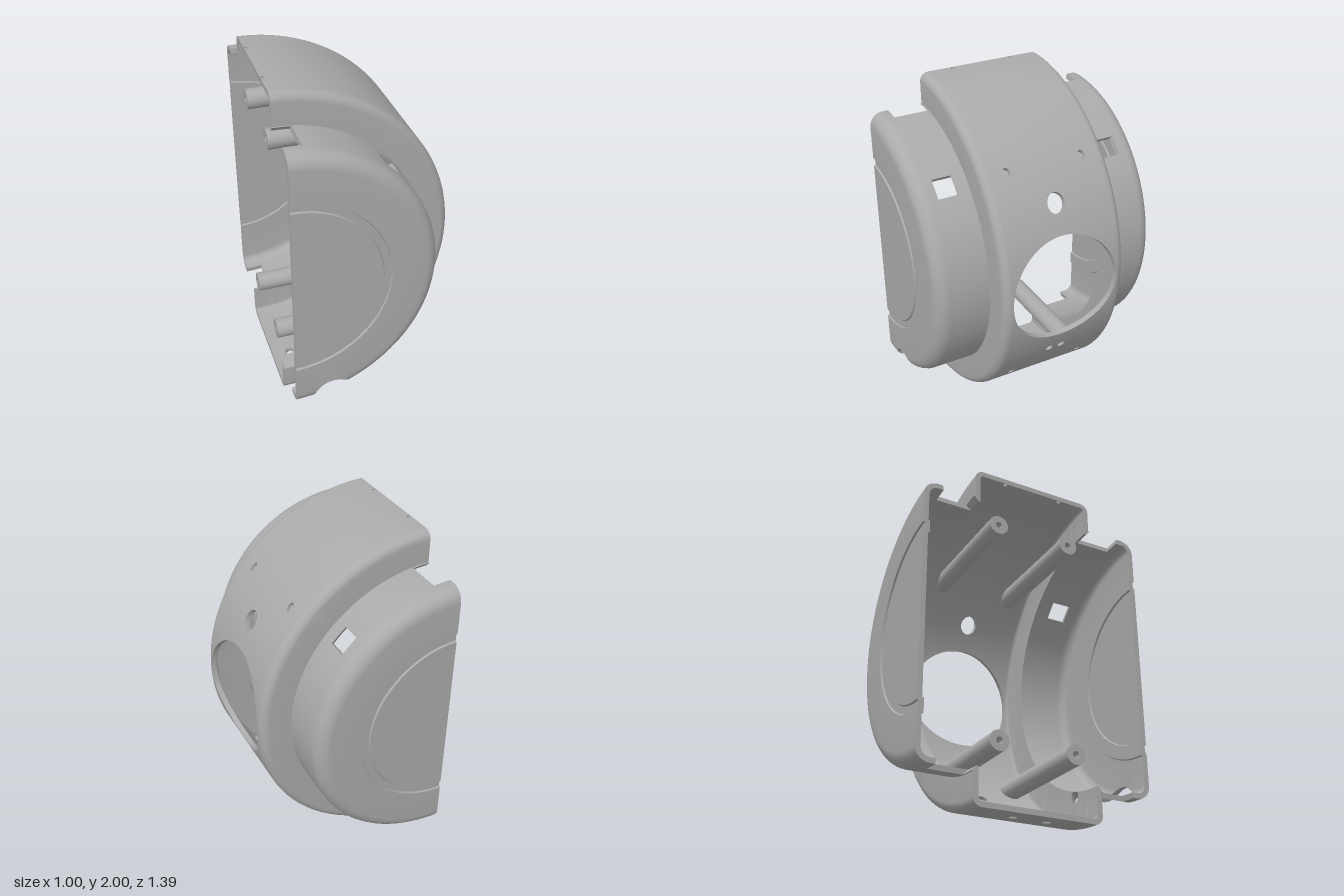
import * as THREE from 'three';
import { toCreasedNormals } from 'three/addons/utils/BufferGeometryUtils.js';

const CX = -0.5, CY = 1, T = 0.03, HALF = Math.PI / 2, DEG = Math.PI / 180;

// Shell profile as (z, radius), from the front disc over the rim to the back disc
function makeProfile() {
  const half = [[0.695, 0], [0.695, 0.5], [0.685, 0.505], [0.685, 0.545], [0.695, 0.55]];
  const arc = (z, r, rad) => {
    for (let i = 0; i <= 7; i++) {
      const a = (i / 7) * HALF;
      half.push([z + rad * Math.cos(a), r + rad * Math.sin(a)]);
    }
  };
  arc(0.615, 0.74, 0.08);
  const step = half.length;
  half.push([0.38, 0.82]);
  arc(0.33, 0.95, 0.05);
  const outer = [...half, ...half.slice().reverse().map(([z, r]) => [-z, r])];
  const normal = (a, b) => {
    const dz = b[0] - a[0], dr = b[1] - a[1], l = Math.hypot(dz, dr);
    return [dr / l, -dz / l];
  };
  // Mitred inward offset gives the wall thickness
  const inner = outer.map((p, i) => {
    const n1 = normal(...(i ? [outer[i - 1], p] : [p, outer[1]]));
    const n2 = i < outer.length - 1 ? normal(p, outer[i + 1]) : n1;
    const k = T / (1 + n1[0] * n2[0] + n1[1] * n2[1]);
    return [p[0] - (n1[0] + n2[0]) * k, Math.max(0, p[1] - (n1[1] + n2[1]) * k)];
  });
  return { outer, inner, step };
}

function makeShell() {
  const { outer, inner, step } = makeProfile();
  const last = outer.length - 1;
  // Profile parameter u = point index + fraction, looked up by z or by radius
  const find = (axis, v, from) => {
    for (let i = from; i < last; i++) {
      const a = outer[i][axis], b = outer[i + 1][axis];
      if (a !== b && (v - a) * (v - b) <= 0) return i + (v - a) / (b - a);
    }
    return last;
  };
  const uZ = z => find(0, z, 5);
  const uR = (r, from) => find(1, r, from);

  // Openings: angle range, extra angle stops, and the u interval at each angle
  const holes = [];
  const add = (t0, t1, span, n, noWalls) => {
    t0 = Math.max(t0, -HALF); t1 = Math.min(t1, HALF);
    const stops = [];
    for (let i = 0; i <= n; i++) stops.push(t0 + (t1 - t0) * (1 - Math.cos(Math.PI * i / n)) / 2);
    holes.push({ t0, t1, span, stops, noWalls });
  };
  const drill = (y, z, r, n = 10) => add(Math.asin(y - r), Math.asin(y + r), t => {
    const h = Math.sqrt(Math.max(0, r * r - (Math.sin(t) - y) ** 2));
    return [uZ(z + h), uZ(z - h)];
  }, n);
  const radial = (t0, z, r) => add(t0 - r, t0 + r, t => {
    const h = Math.sqrt(Math.max(0, r * r - (t - t0) ** 2));
    return [uZ(z + h), uZ(z - h)];
  }, 10);
  const rect = (t0, t1, z0, z1, noWalls) => {
    const s = [uZ(z1), uZ(z0)];
    add(t0, t1, () => s, 3, noWalls);
  };

  drill(0, 0, 0.328, 40);
  drill(0.49, 0, 0.052, 16);
  for (const z of [-0.23, 0.23]) { drill(0.67, z, 0.02); drill(-0.635, z, 0.02); }
  for (const z of [-0.04, 0.04]) drill(-0.45, z, 0.022);
  radial(Math.asin(-0.76), 0, 0.03);
  for (const s of [-1, 1]) {
    radial(-HALF + 0.11, s * 0.1, 0.025);
    radial(HALF - 0.013, s * 0.183, 0.012);
    // Small windows and the slots beside the cut edge
    const [a, b] = s > 0 ? [0.46, 0.57] : [-0.57, -0.46];
    rect(41.2 * DEG, 49.1 * DEG, a, b);
    const [c, d] = s > 0 ? [0.39, 0.585] : [-0.585, -0.39];
    rect(83 * DEG, HALF, c, d);
    rect(-HALF, -83 * DEG, c, d, s > 0);
  }
  // Round cable notch in the front rim and the hole in the step behind it
  const ct = Math.atan2(-0.81, 0.22), cr = 0.839;
  add(-83 * DEG, -66.6 * DEG, t => {
    const a = t - ct, q = Math.sqrt(Math.max(0, 0.0144 - (cr * Math.sin(a)) ** 2));
    return [uR(Math.min(0.819, cr * Math.cos(a) - q), 4), uZ(0.45)];
  }, 18);
  add(ct - 0.0415, ct + 0.0415, t => {
    const a = t - ct, q = Math.sqrt(Math.max(0, 0.00123 - (0.844 * Math.sin(a)) ** 2));
    const mid = 0.844 * Math.cos(a);
    return [uR(Math.max(0.822, mid - q), step), uR(Math.max(0.823, mid + q), step)];
  }, 12);

  const pos = [];
  const P = (u, t, line) => {
    const i = Math.min(last - 1, Math.floor(u)), f = u - i;
    const z = line[i][0] + (line[i + 1][0] - line[i][0]) * f;
    const r = line[i][1] + (line[i + 1][1] - line[i][1]) * f;
    return new THREE.Vector3(CX + r * Math.cos(t), CY + r * Math.sin(t), z);
  };
  const tri = (a, b, c) => {
    if (b.clone().sub(a).cross(c.clone().sub(a)).length() < 1e-10) return;
    for (const p of [a, b, c]) pos.push(p.x, p.y, p.z);
  };
  const quad = (a, b, c, d, flip) => {
    if (flip) [b, d] = [d, b];
    tri(a, b, c); tri(a, c, d);
  };
  const between = (a, b) => {
    const r = [];
    for (let i = Math.floor(a + 1e-6) + 1; i < b - 1e-6; i++) r.push(i);
    return r;
  };
  // Wall across the thickness at a fixed angle
  const endWall = (t, a, b, flip) => {
    if (b - a < 1e-5) return;
    const us = [a, ...between(a, b), b];
    for (let i = 0; i < us.length - 1; i++)
      quad(P(us[i], t, inner), P(us[i], t, outer), P(us[i + 1], t, outer), P(us[i + 1], t, inner), flip);
  };

  // Sweep in angular columns, split around every opening
  let stops = holes.flatMap(h => h.stops);
  for (let i = 0; i <= 64; i++) stops.push(-HALF + Math.PI * i / 64);
  stops = stops.sort((a, b) => a - b).filter((t, i, s) => !i || t - s[i - 1] > 1e-7);
  for (let k = 0; k < stops.length - 1; k++) {
    const ta = stops[k], tb = stops[k + 1], tm = (ta + tb) / 2;
    const spans = holes.filter(h => h.t0 < tm && h.t1 > tm)
      .map(h => [h.span(ta), h.span(tb)])
      .sort((p, q) => p[0][0] + p[1][0] - q[0][0] - q[1][0]);
    let A = [0, 0];
    for (let j = 0; j <= spans.length; j++) {
      const s = spans[j], B = s ? [s[0][0], s[1][0]] : [last, last];
      const mid = between(Math.max(...A), Math.min(...B));
      const ua = [A[0], ...mid, B[0]], ub = [A[1], ...mid, B[1]];
      for (const line of [outer, inner])
        for (let i = 0; i < ua.length - 1; i++)
          quad(P(ua[i], ta, line), P(ua[i + 1], ta, line), P(ub[i + 1], tb, line), P(ub[i], tb, line), line === inner);
      if (k === 0) endWall(ta, A[0], B[0], true);
      if (k === stops.length - 2) endWall(tb, A[1], B[1], false);
      if (s) {
        quad(P(B[0], ta, inner), P(B[1], tb, inner), P(B[1], tb, outer), P(B[0], ta, outer));
        A = [s[0][1], s[1][1]];
        quad(P(A[0], ta, inner), P(A[1], tb, inner), P(A[1], tb, outer), P(A[0], ta, outer), true);
      }
    }
  }
  for (const h of holes) {
    if (h.noWalls) continue;
    if (h.t0 > -HALF + 1e-6) endWall(h.t0, ...h.span(h.t0), false);
    if (h.t1 < HALF - 1e-6) endWall(h.t1, ...h.span(h.t1), true);
  }
  const g = new THREE.BufferGeometry();
  g.setAttribute('position', new THREE.Float32BufferAttribute(pos, 3));
  return toCreasedNormals(g, 0.5);
}

// Hollow screw post running from the cut plane to the curved wall
function makePost(y, z) {
  const shape = new THREE.Shape().absarc(0, 0, 0.058, 0, Math.PI * 2);
  shape.holes.push(new THREE.Path().absarc(0, 0, 0.02, 0, Math.PI * 2, true));
  const g = new THREE.ExtrudeGeometry(shape, { depth: 1, bevelEnabled: false, curveSegments: 16 });
  const p = g.attributes.position;
  for (let i = 0; i < p.count; i++) {
    const yy = y + p.getX(i), zz = z + p.getY(i);
    p.setXYZ(i, CX + p.getZ(i) * Math.sqrt(0.98 ** 2 - yy * yy), CY + yy, zz);
  }
  return toCreasedNormals(g, 0.6);
}

export function createModel() {
  const group = new THREE.Group();
  group.name = 'halfHousing';
  const grey = new THREE.MeshStandardMaterial({ color: 0xaaaaaa, side: THREE.DoubleSide });
  grey.name = 'grey plastic';
  const part = (name, geometry) => {
    const m = new THREE.Mesh(geometry, grey);
    m.name = name;
    group.add(m);
  };
  part('shell', makeShell());
  for (const y of [0.67, -0.635])
    for (const z of [-0.23, 0.23])
      part(`${y > 0 ? 'upper' : 'lower'}${z > 0 ? 'Front' : 'Back'}ScrewPost`, makePost(y, z));
  return group;
}
